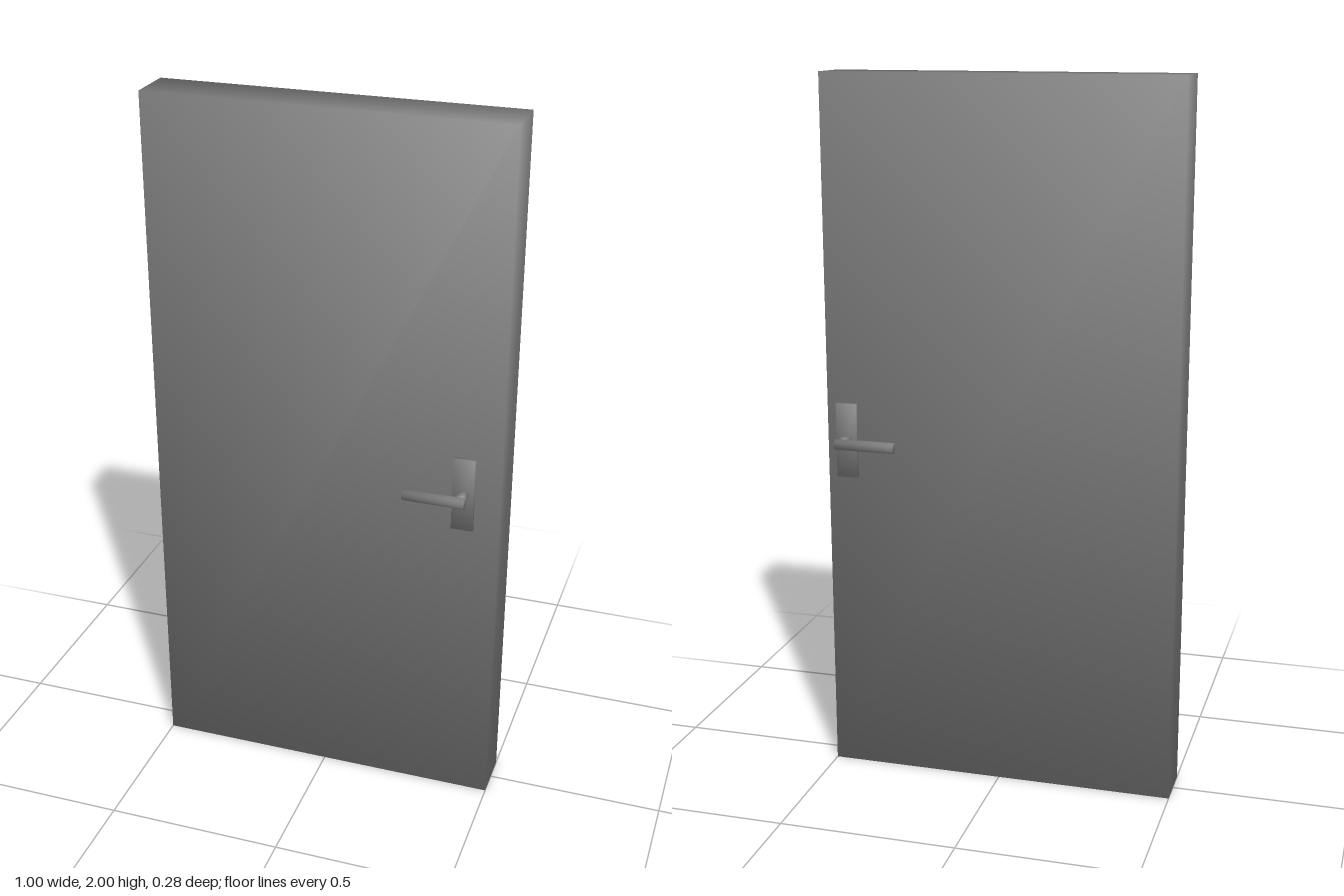
import * as THREE from 'three';

const grey = new THREE.MeshStandardMaterial({ color: 0x808080 });
grey.name = 'grey';

// Shares one averaged normal between all corners that meet, so edges shade softly
function soften(geometry) {
  const p = geometry.attributes.position, n = geometry.attributes.normal;
  const key = (i) => [p.getX(i), p.getY(i), p.getZ(i)].map((v) => Math.round(v * 1e4)).join();
  const sums = new Map();
  for (let i = 0; i < p.count; i++) {
    const k = key(i);
    if (!sums.has(k)) sums.set(k, new THREE.Vector3());
    sums.get(k).add(new THREE.Vector3().fromBufferAttribute(n, i));
  }
  for (let i = 0; i < p.count; i++) {
    const v = sums.get(key(i)).clone().normalize();
    n.setXYZ(i, v.x, v.y, v.z);
  }
  return geometry;
}

function addPart(parent, name, geometry, x, y, z) {
  const mesh = new THREE.Mesh(soften(geometry), grey);
  mesh.name = name;
  mesh.position.set(x, y, z);
  parent.add(mesh);
}

// Handle on one face; side is +1 for the front and -1 for the back
function makeHandle(name, side, x, y) {
  const handle = new THREE.Group();
  handle.name = name;
  addPart(handle, 'backPlate', new THREE.BoxGeometry(0.061, 0.214, 0.01), 0, 0, side * 0.075);
  addPart(handle, 'spindle',
    new THREE.CylinderGeometry(0.0155, 0.0155, 0.045, 16).rotateX(Math.PI / 2), 0, 0, side * 0.0975);
  addPart(handle, 'lever',
    new THREE.CylinderGeometry(0.0155, 0.0155, 0.171, 16).rotateZ(Math.PI / 2), -0.07, 0, side * 0.1255);
  handle.position.set(x, y, 0);
  return handle;
}

export function createModel() {
  const door = new THREE.Group();
  door.name = 'door';
  addPart(door, 'doorPanel', new THREE.BoxGeometry(1, 2, 0.14), 0, 1, 0);
  door.add(makeHandle('frontHandle', 1, 0.398, 0.979));
  door.add(makeHandle('backHandle', -1, 0.442, 0.984));
  return door;
}
